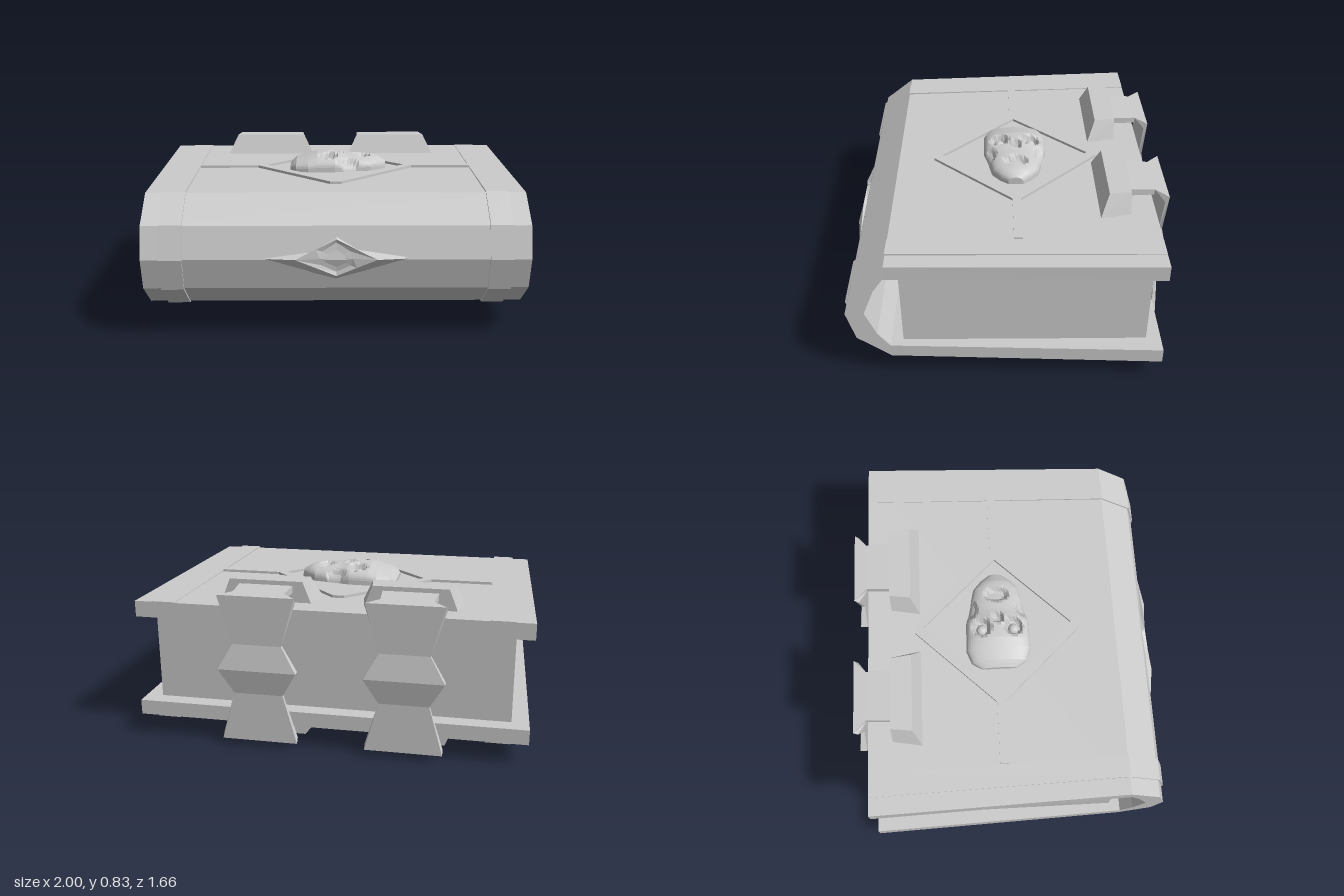
import * as THREE from 'three';

const grey = new THREE.MeshStandardMaterial({ color: 0xcccccc, flatShading: true });

function mesh(name, geometry) {
  const m = new THREE.Mesh(geometry, grey);
  m.name = name;
  return m;
}

// Closed solid through equal-length rings of [x, y, z], capped at both ends
function loft(rings) {
  const n = rings[0].length;
  const tris = [];
  const quad = (a, b, c, d) => tris.push([a, b, c], [a, c, d]);
  for (let i = 0; i < rings.length - 1; i++) {
    for (let j = 0; j < n; j++) {
      const k = (j + 1) % n;
      quad(rings[i][j], rings[i][k], rings[i + 1][k], rings[i + 1][j]);
    }
  }
  const centre = ring => [0, 1, 2].map(a => ring.reduce((s, p) => s + p[a], 0) / n);
  const first = rings[0], last = rings[rings.length - 1];
  const c0 = centre(first), c1 = centre(last);
  for (let j = 0; j < n; j++) {
    const k = (j + 1) % n;
    tris.push([c0, first[k], first[j]], [c1, last[j], last[k]]);
  }
  // Turn the faces outward if the signed volume is negative
  let volume = 0;
  for (const [a, b, c] of tris) {
    const v = p => new THREE.Vector3(...p);
    volume += v(a).sub(v(c0)).dot(v(b).sub(v(c0)).cross(v(c).sub(v(c0))));
  }
  if (volume < 0) tris.forEach(t => t.reverse());
  const g = new THREE.BufferGeometry();
  g.setAttribute('position', new THREE.Float32BufferAttribute(tris.flat(2), 3));
  g.computeVertexNormals();
  return g;
}

// Piecewise linear lookup in [x, value] pairs
function lerpTable(table, x) {
  for (let i = 1; i < table.length; i++) {
    const [x0, v0] = table[i - 1], [x1, v1] = table[i];
    if (x <= x1) return v0 + (v1 - v0) * (x - x0) / (x1 - x0);
  }
  return table[table.length - 1][1];
}

// Extrude a (z, y) profile from x0 to x1, widening towards the back
function profileSolid(points, x0, x1) {
  const shape = new THREE.Shape(points.map(p => new THREE.Vector2(...p)));
  const g = new THREE.ExtrudeGeometry(shape, { depth: x1 - x0, bevelEnabled: false });
  g.rotateY(-Math.PI / 2);
  g.translate(x1, 0, 0);
  const p = g.attributes.position;
  for (let i = 0; i < p.count; i++) {
    const flare = 1 + 0.047 * Math.max(0, 0.6 - p.getZ(i)) / 1.36;
    p.setX(i, p.getX(i) * flare);
  }
  g.computeVertexNormals();
  return g;
}

const outer = [[-0.74, 0.725], [0.6, 0.708], [0.765, 0.58], [0.808, 0.42], [0.765, 0.262], [0.6, 0.137], [-0.76, 0.112]];
const inner = [[-0.76, 0.19], [0.6, 0.205], [0.66, 0.285], [0.715, 0.42], [0.66, 0.56], [0.61, 0.632], [-0.74, 0.642]];
const ribOuter = [[-0.74, 0.728], [0.602, 0.716], [0.774, 0.585], [0.818, 0.42], [0.774, 0.257], [0.602, 0.129], [-0.76, 0.109]];

// Skull relief lying face up, crown towards -x
function skullGeometry() {
  const width = [[-0.25, 0.09], [-0.22, 0.145], [-0.15, 0.172], [0, 0.17], [0.08, 0.15], [0.2, 0.125], [0.25, 0.085], [0.285, 0.04]];
  const height = [[-0.25, 0.025], [-0.22, 0.055], [-0.1, 0.09], [0, 0.096], [0.06, 0.082], [0.15, 0.078], [0.23, 0.068], [0.285, 0.04]];
  const dents = [ // x, z, radius x, radius z, depth
    [-0.035, 0.085, 0.055, 0.055, 0.05], [-0.035, -0.085, 0.055, 0.055, 0.05],
    [0.015, 0, 0.035, 0.035, 0.04], [0.155, 0, 0.045, 0.075, 0.035],
    [0.08, 0.14, 0.06, 0.04, 0.025], [0.08, -0.14, 0.06, 0.04, 0.025],
  ];
  const rings = [];
  for (let i = 0; i <= 32; i++) {
    const x = -0.25 + 0.535 * i / 32;
    const w = lerpTable(width, x), h = lerpTable(height, x);
    const ring = [];
    for (let j = 0; j <= 28; j++) {
      const t = Math.PI * j / 28;
      const z = w * Math.cos(t);
      let y = h * Math.pow(Math.max(0, Math.sin(t)), 0.6);
      for (const [dx, dz, rx, rz, depth] of dents) {
        const r = Math.hypot((x - dx) / rx, (z - dz) / rz);
        y -= depth * (1 - THREE.MathUtils.smoothstep(r, 0.6, 1));
      }
      ring.push([x, 0.718 + Math.max(0, y), z - 0.04]);
    }
    rings.push(ring);
  }
  return loft(rings);
}

// Flat diamond frame with a bar on each side, laid on the cover
function frameGeometry() {
  const v = (x, y) => new THREE.Vector2(x, y);
  const shape = new THREE.Shape([
    v(0.765, -0.022), v(0.765, 0.022), v(0.435, 0.022), v(0.03, 0.445), v(-0.03, 0.445), v(-0.435, 0.022),
    v(-0.765, 0.022), v(-0.765, -0.022), v(-0.435, -0.022), v(-0.03, -0.445), v(0.03, -0.445), v(0.435, -0.022),
  ]);
  shape.holes.push(new THREE.Path([v(0.39, 0), v(0, -0.4), v(-0.39, 0), v(0, 0.4)]));
  const g = new THREE.ExtrudeGeometry(shape, { depth: 0.016, bevelEnabled: false });
  g.rotateX(-Math.PI / 2 + 0.0125);
  g.translate(0, 0.714, -0.04);
  return g;
}

// Faceted ornament in the middle of the spine
function ornamentGeometry() {
  const onSpine = y => 0.808 - Math.abs(y - 0.42) * 0.27;
  const ring = (points, lift) => points.map(([x, y, extra = 0]) => [x, y, onSpine(y) + lift + extra]);
  return loft([
    ring([[0.385, 0.425], [0.12, 0.46], [0, 0.53], [-0.12, 0.46], [-0.385, 0.425], [-0.15, 0.355], [0, 0.31], [-0.15 * -1, 0.355]], -0.004),
    ring([[0.2, 0.425, 0.005], [0.1, 0.472], [0, 0.52], [-0.1, 0.472], [-0.2, 0.425, 0.005], [-0.1, 0.38], [0, 0.335], [0.1, 0.38]], 0.018),
    ring([[0.08, 0.425], [0.07, 0.46], [0, 0.502], [-0.07, 0.46], [-0.08, 0.425], [-0.07, 0.39], [0, 0.355], [0.07, 0.39]], 0.004),
  ]);
}

// Clasp: a wedge block on each cover joined by a bent strap
function clasp(cx) {
  const group = new THREE.Group();
  group.name = 'clasp';
  const rect = (y, front, back, wf, wb) => [[-wf, y, front], [wf, y, front], [wb, y, back], [-wb, y, back]];
  group.add(mesh('upperClaspBlock', loft([
    rect(0.715, -0.455, -0.612, 0.262, 0.235), rect(0.832, -0.5, -0.612, 0.205, 0.19)])));
  group.add(mesh('lowerClaspBlock', loft([
    rect(0.115, -0.455, -0.612, 0.262, 0.235), rect(0, -0.5, -0.612, 0.205, 0.19)])));

  // Each section: half width, then outer and inner (z, y)
  const sections = [
    [0.14, [-0.6, 0.81], [-0.6, 0.775]],
    [0.13, [-0.74, 0.804], [-0.74, 0.772]],
    [0.195, [-0.805, 0.8], [-0.785, 0.77]],
    [0.125, [-0.803, 0.55], [-0.785, 0.55]],
    [0.2, [-0.828, 0.42], [-0.79, 0.42]],
    [0.125, [-0.803, 0.29], [-0.785, 0.29]],
    [0.195, [-0.805, 0.035], [-0.785, 0.062]],
    [0.13, [-0.74, 0.04], [-0.74, 0.066]],
    [0.14, [-0.6, 0.047], [-0.6, 0.078]],
  ];
  group.add(mesh('claspStrap', loft(sections.map(([w, [zo, yo], [zi, yi]]) =>
    [[-w, yo, zo], [w, yo, zo], [w, yi, zi], [-w, yi, zi]]))));
  group.position.x = cx;
  return group;
}

export function createModel() {
  const book = new THREE.Group();
  book.name = 'book';
  book.add(mesh('cover', profileSolid([...outer, ...inner], -0.955, 0.955)));

  // Raised ribs wrapping the spine and covers
  for (const [x0, x1] of [[-0.865, -0.752], [0.752, 0.865]]) {
    book.add(mesh('rib', profileSolid([...ribOuter, ...[...inner].map(([z, y]) =>
      [z + (z > 0.5 ? 0.02 : 0), y + (y > 0.42 ? 0.015 : y < 0.42 ? -0.015 : 0)])], x0, x1)));
  }

  // Page block, open to the hollow of the spine
  const pages = mesh('pages', new THREE.BoxGeometry(1.82, 0.45, 1.225));
  pages.position.set(0, 0.418, -0.072);
  book.add(pages);

  book.add(mesh('diamondFrame', frameGeometry()));
  book.add(mesh('skull', skullGeometry()));
  for (const side of [-1, 1]) {
    const eye = mesh('eye', new THREE.SphereGeometry(0.03, 12, 8));
    eye.position.set(-0.04, 0.755, -0.04 + side * 0.085);
    book.add(eye);
  }
  book.add(mesh('spineOrnament', ornamentGeometry()));
  book.add(clasp(-0.39), clasp(0.345));
  return book;
}
